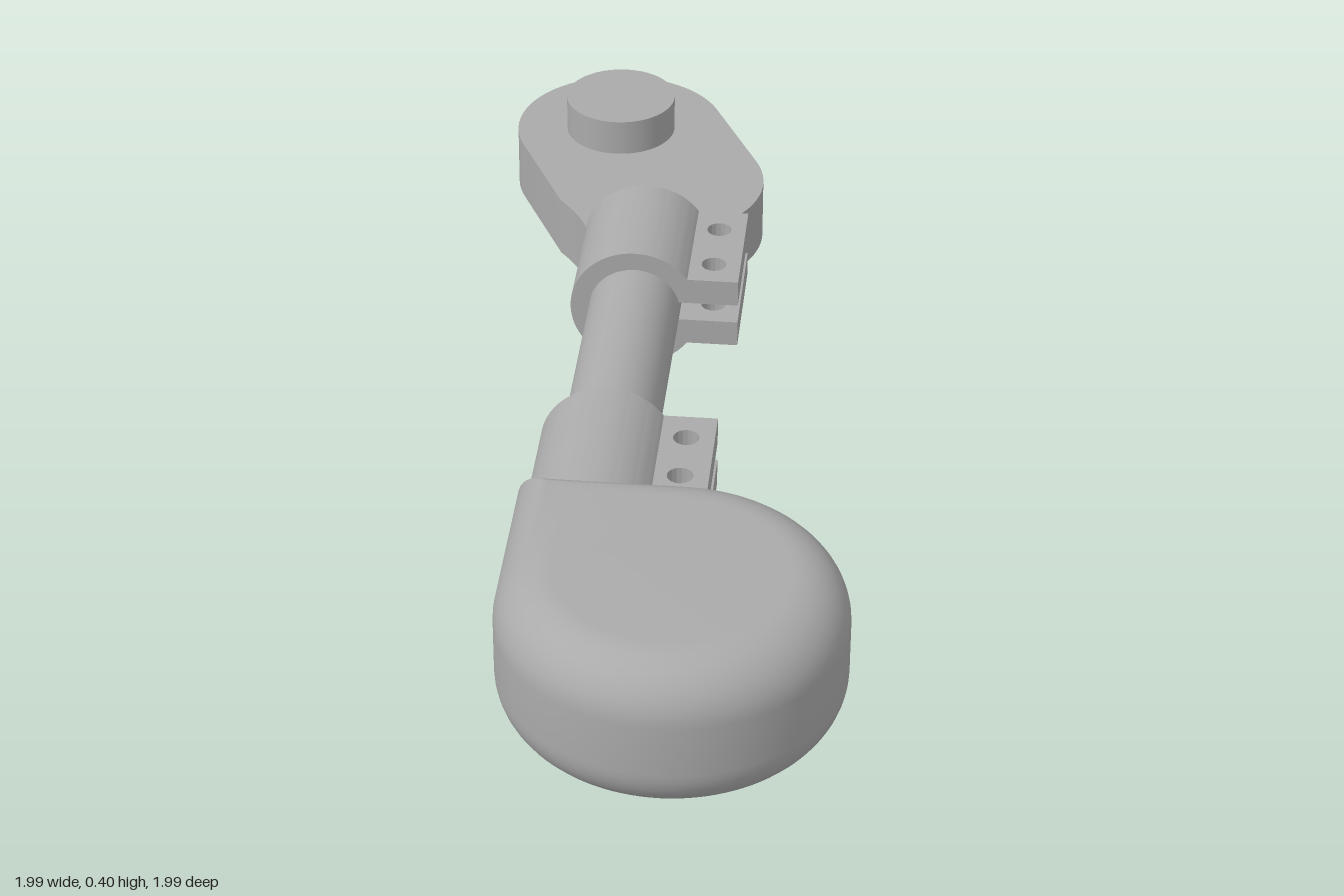
import * as THREE from 'three';
import { toCreasedNormals } from 'three/addons/utils/BufferGeometryUtils.js';

const metal = new THREE.MeshStandardMaterial({ color: 0xaaaaaa });
metal.name = 'greyMetal';

function part(parent, name, geometry) {
  const mesh = new THREE.Mesh(geometry, metal);
  mesh.name = name;
  parent.add(mesh);
  return mesh;
}

// Flat outline drawn in (x, -z), raised along y
function plate(shape, depth, bevel = 0) {
  const geo = new THREE.ExtrudeGeometry(shape, {
    depth: depth - 2 * bevel, curveSegments: 40, bevelEnabled: bevel > 0,
    bevelSize: bevel, bevelThickness: bevel, bevelSegments: 12,
  });
  geo.rotateX(-Math.PI / 2).translate(0, bevel, 0);
  return toCreasedNormals(geo, 0.6);
}

// Split clamp around the tube, with two drilled tabs
function addClamp(parent, name, start, end, tabStart) {
  const clamp = new THREE.Group();
  clamp.name = name;
  parent.add(clamp);
  const outer = 0.142, inner = 0.1, gap = 0.022;
  const a = Math.PI - Math.asin(gap / outer), b = Math.PI - Math.asin(gap / inner);
  const ring = new THREE.Shape();
  ring.absarc(0, 0, outer, -a, a, false);
  ring.absarc(0, 0, inner, b, -b, true);
  const geo = new THREE.ExtrudeGeometry(ring, { depth: end - start, bevelEnabled: false, curveSegments: 48 });
  geo.rotateY(Math.PI / 2).translate(start, 0, 0);
  part(clamp, 'clampRing', toCreasedNormals(geo, 0.6));

  const tab = new THREE.Shape();
  tab.moveTo(tabStart, -0.228);
  tab.lineTo(end, -0.228);
  tab.lineTo(end, -0.1);
  tab.lineTo(tabStart, -0.1);
  tab.closePath();
  for (const x of [tabStart + 0.07, end - 0.075]) {
    tab.holes.push(new THREE.Path().absarc(x, -0.169, 0.027, 0, Math.PI * 2, true));
  }
  const tabGeo = plate(tab, 0.06);
  part(clamp, 'upperTab', tabGeo).position.y = gap;
  part(clamp, 'lowerTab', tabGeo).position.y = -gap - 0.06;
}

export function createModel() {
  const model = new THREE.Group();
  model.name = 'linkArm';

  // Slanted arm: local x runs along the tube
  const arm = new THREE.Group();
  arm.name = 'arm';
  arm.rotation.y = Math.PI / 5;
  arm.position.set(-0.033, 0.233, -0.045);
  model.add(arm);

  const tube = new THREE.CylinderGeometry(0.1, 0.1, 1.2, 64);
  tube.rotateZ(Math.PI / 2).translate(-0.05, 0, 0);
  part(arm, 'tube', tube);
  addClamp(arm, 'headClamp', -0.7, -0.27, -0.55);
  addClamp(arm, 'lugClamp', 0.258, 0.55, 0.258);

  // Rounded head: a disc with one square corner, softened all round
  const bevel = 0.115, cx = -0.909, cy = -0.193, r = 0.345 - bevel;
  const head = new THREE.Shape();
  head.absarc(cx, cy, r, Math.PI / 2, Math.PI * 2, false);
  head.lineTo(cx + r, cy + r);
  head.closePath();
  part(arm, 'roundedHead', plate(head, 0.342, bevel)).position.y = -0.171;

  // Lug plate: two joined discs with a neck meeting the clamp
  const far = [0.75, 0.755], near = [0.625, 0.525], R = 0.245;
  const dir = Math.atan2(far[1] - near[1], far[0] - near[0]);
  const lug = new THREE.Shape();
  lug.moveTo(0.335, 0.478);
  lug.lineTo(0.49, 0.265);
  lug.quadraticCurveTo(0.53, 0.287, 0.6, 0.281);
  lug.absarc(near[0], near[1], R, -Math.PI / 2, dir - Math.PI / 2, false);
  lug.absarc(far[0], far[1], R, dir - Math.PI / 2, dir + Math.PI / 2, false);
  lug.lineTo(0.405, 0.632);
  lug.quadraticCurveTo(0.382, 0.535, 0.335, 0.478);
  part(model, 'lugPlate', plate(lug, 0.143)).position.y = 0.092;

  // Pegs above and below the lug
  const peg = (name, [x, z], y0, y1) =>
    part(model, name, new THREE.CylinderGeometry(0.128, 0.128, y1 - y0, 64)).position.set(x, (y0 + y1) / 2, -z);
  peg('upperPeg', far, 0.2, 0.32);
  peg('lowerPeg', near, 0, 0.12);

  return model;
}
